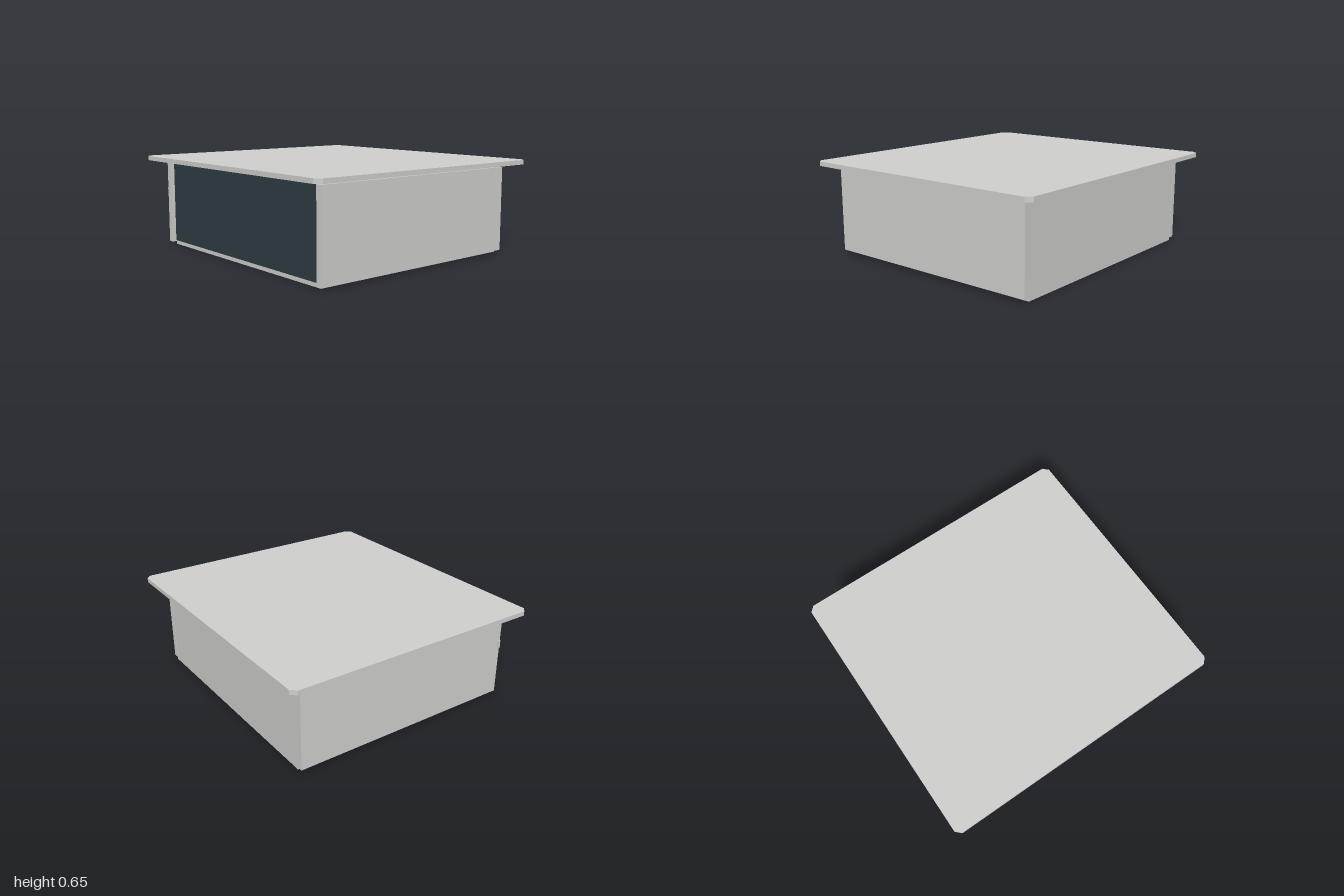
import * as THREE from 'three';

export function createModel() {
  const group = new THREE.Group();
  const grey = new THREE.MeshStandardMaterial({ color: 0xcececc });
  grey.name = 'light grey';
  const slate = new THREE.MeshStandardMaterial({ color: 0x2e3c43 });
  slate.name = 'dark slate';

  // Box given by its minimum and maximum corners
  function box(name, material, [x0, y0, z0], [x1, y1, z1]) {
    const mesh = new THREE.Mesh(new THREE.BoxGeometry(x1 - x0, y1 - y0, z1 - z0), material);
    mesh.position.set((x0 + x1) / 2, (y0 + y1) / 2, (z0 + z1) / 2);
    mesh.name = name;
    group.add(mesh);
  }

  // Cabinet body and its dark front panel
  box('body', grey, [-0.845, 0, -0.8], [0.845, 0.625, 0.777]);
  box('frontPanel', slate, [-0.845, 0.028, 0.777], [0.845, 0.597, 0.781]);

  // Side panels standing slightly proud of the front
  box('leftSidePanel', grey, [0.845, 0.02, -0.803], [0.888, 0.602, 0.81]);
  box('rightSidePanel', grey, [-0.888, 0.02, -0.803], [-0.845, 0.602, 0.81]);

  // Small catch at the front edge of the right side
  box('sideCatch', grey, [-0.896, 0.36, 0.79], [-0.888, 0.418, 0.808]);

  // Overhanging top slab with clipped corners
  const w = 1, d = 0.923, c = 0.036;
  const outline = new THREE.Shape([
    [w - c, -d], [w, -d + c], [w, d - c], [w - c, d],
    [-w + c, d], [-w, d - c], [-w, -d + c], [-w + c, -d],
  ].map(([x, y]) => new THREE.Vector2(x, y)));
  const topGeometry = new THREE.ExtrudeGeometry(outline, { depth: 0.031, bevelEnabled: false });
  topGeometry.rotateX(-Math.PI / 2);
  const top = new THREE.Mesh(topGeometry, grey);
  top.position.y = 0.622;
  top.name = 'topSlab';
  group.add(top);

  return group;
}
